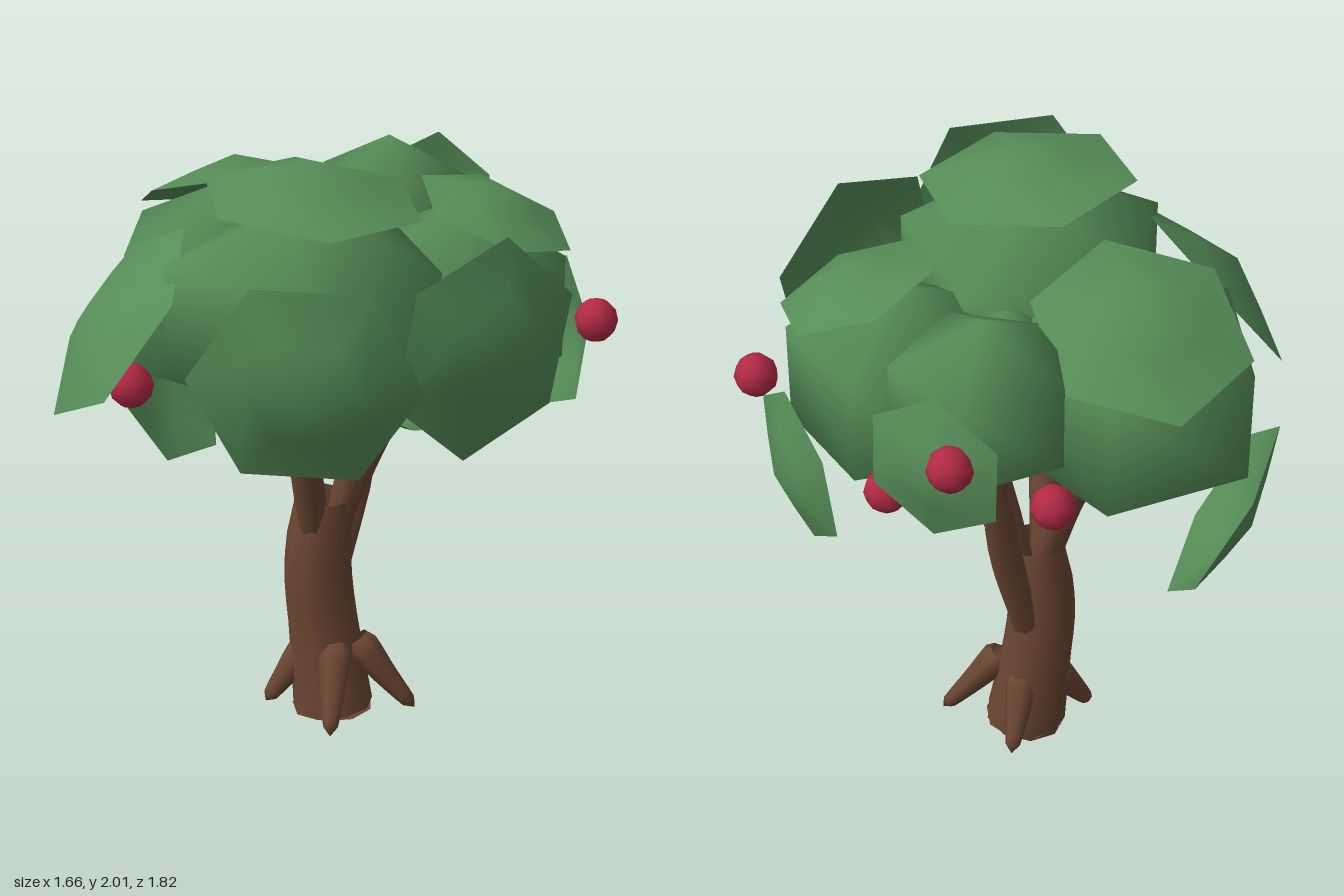
import * as THREE from 'three';
import { mergeVertices } from 'three/addons/utils/BufferGeometryUtils.js';

const mat = (name, color, side = THREE.FrontSide) => {
  const m = new THREE.MeshStandardMaterial({ color, side });
  m.name = name;
  return m;
};

// Drop seams so that low-poly surfaces shade smoothly
function smooth(geometry) {
  geometry.deleteAttribute('uv');
  geometry.deleteAttribute('normal');
  const merged = mergeVertices(geometry, 1e-4);
  merged.computeVertexNormals();
  return merged;
}

// Tube along a curve whose radius follows a list of values
function limbGeometry(points, radii, sides = 9, rings = 10) {
  const curve = new THREE.CatmullRomCurve3(points.map(p => new THREE.Vector3(...p)));
  const geo = new THREE.TubeGeometry(curve, rings, 1, sides);
  const pos = geo.attributes.position, v = new THREE.Vector3();
  for (let i = 0; i < pos.count; i++) {
    const t = Math.floor(i / (sides + 1)) / rings;
    const f = t * (radii.length - 1), k = Math.min(Math.floor(f), radii.length - 2);
    const r = THREE.MathUtils.lerp(radii[k], radii[k + 1], f - k);
    const c = curve.getPointAt(t);
    v.fromBufferAttribute(pos, i).sub(c).multiplyScalar(r).add(c);
    pos.setXYZ(i, v.x, v.y, v.z);
  }
  return smooth(geo);
}

export function createModel() {
  const bark = mat('bark brown', 0x6b4633, THREE.DoubleSide);
  const leaf = mat('leaf green', 0x568d58, THREE.DoubleSide);
  const red = mat('berry red', 0xb22a45);
  const tree = new THREE.Group();
  tree.name = 'tree';
  const add = (name, geo, material, position = [0, 0, 0]) => {
    const mesh = new THREE.Mesh(geo, material);
    mesh.name = name;
    mesh.position.set(...position);
    tree.add(mesh);
    return mesh;
  };

  // Bent trunk with a flat foot
  add('trunk', limbGeometry(
    [[-0.045, 0.01, -0.055], [-0.075, 0.25, -0.06], [-0.095, 0.5, -0.05], [-0.075, 0.77, -0.05]],
    [0.135, 0.125, 0.117, 0.114, 0.108, 0.09]), bark);
  add('trunkFoot', new THREE.CircleGeometry(0.135, 9).rotateX(Math.PI / 2), bark, [-0.045, 0.012, -0.055]);

  // Tapered roots
  const roots = [
    [[0.04, 0.27, -0.06], [0.12, 0.16, -0.075], [0.23, 0.025, -0.1]],
    [[-0.01, 0.26, 0], [0.01, 0.16, 0.08], [0.04, 0.025, 0.19]],
    [[-0.13, 0.22, -0.04], [-0.18, 0.14, -0.01], [-0.25, 0.025, 0.035]],
    [[-0.05, 0.26, -0.12], [-0.05, 0.15, -0.19], [-0.045, 0.025, -0.275]],
  ];
  for (const p of roots) {
    add('root', limbGeometry(p, [0.04, 0.055, 0.053, 0.05, 0.046, 0.042, 0.038, 0.034, 0.03, 0.025, 0], 7), bark);
  }

  // Branches fanning out into the crown
  const branches = [
    [[-0.09, 0.68, 0.01], [-0.08, 0.92, 0.08], [-0.03, 1.35, 0.27]],
    [[-0.1, 0.66, -0.05], [-0.16, 0.9, -0.07], [-0.31, 1.25, -0.1]],
    [[-0.04, 0.66, -0.06], [0.05, 0.92, -0.11], [0.25, 1.3, -0.2]],
    [[-0.03, 0.66, -0.06], [0.025, 0.95, -0.1], [0.06, 1.35, -0.17]],
    [[-0.06, 0.48, -0.13], [-0.01, 0.85, -0.22], [0.0, 1.4, -0.37]],
  ];
  for (const p of branches) add('branch', limbGeometry(p, [0.045, 0.055, 0.045, 0.036], 7), bark);

  // Five-sided foliage masses: centre, half width, half height, turn in degrees
  const clumps = [
    [[0.01, 1.53, 0.31], 0.495, 0.35, 180],
    [[-0.38, 1.43, -0.065], 0.46, 0.375, -90],
    [[0, 1.6, -0.45], 0.315, 0.28, -90],
    [[0.33, 1.45, -0.18], 0.385, 0.33, 261],
    [[0.01, 1.5, -0.13], 0.2, 0.2, 0],
  ];
  const clumpGeo = smooth(new THREE.SphereGeometry(1, 5, 3));
  for (const [c, w, h, turn] of clumps) {
    const clump = add('foliageClump', clumpGeo, leaf, c);
    clump.scale.set(w, h, w);
    clump.rotation.y = THREE.MathUtils.degToRad(turn);
  }

  // Shallow six-sided leaf pads: rim centre, outward direction, one corner's direction, radius
  const pads = [
    [[0.035, 1.89, 0.32], [0.1, 1, 0.04], [1, 0, 0], 0.345],
    [[0.45, 1.75, -0.17], [0.36, 0.93, 0], [1, 0, 0], 0.26],
    [[-0.42, 1.73, -0.19], [-0.22, 0.92, -0.3], [-1, 0, 0], 0.34],
    [[0.2, 1.49, 0.795], [0.34, -0.12, 0.93], [-1, 0.1, 0], 0.34],
    [[-0.53, 1.485, 0.48], [-0.65, 0.6, 0.46], [-0.27, -0.14, -0.18], 0.35],
    [[0.58, 1.485, 0.32], [0.83, -0.03, 0.55], [0, 0.3, -1], 0.345],
    [[0.565, 1.28, -0.465], [0.76, -0.08, -0.64], [0, 1, 0.15], 0.265],
    [[-0.685, 1.075, -0.15], [-0.88, -0.47, 0], [0.45, -0.84, -0.3], 0.326],
    [[0.065, 1.585, -0.775], [0.26, 0.05, -0.95], [0, 1, 0], 0.23],
    [[0.2, 1.13, -0.03], [-0.2, -0.97, 0.12], [1, 0, 0], 0.22],
  ];
  const padGeo = smooth(new THREE.LatheGeometry(
    [[1, 0], [0.5, 0.17], [0, 0.32]].map(p => new THREE.Vector2(...p)), 6));
  for (const [c, out, corner, r] of pads) {
    const y = new THREE.Vector3(...out).normalize();
    const x = new THREE.Vector3().crossVectors(y, new THREE.Vector3(...corner)).normalize();
    const z = new THREE.Vector3().crossVectors(x, y);
    const pad = add('leafPad', padGeo, leaf, c);
    pad.quaternion.setFromRotationMatrix(new THREE.Matrix4().makeBasis(x, y, z));
    pad.scale.setScalar(r);
  }

  // Berries
  const berryGeo = smooth(new THREE.SphereGeometry(0.069, 9, 6));
  const berries = [
    [0.765, 1.42, -0.23], [-0.445, 1.33, 0.585], [0.003, 1.64, -0.84],
    [-0.245, 1.37, -0.61], [0.25, 1.36, -0.625],
  ];
  for (const p of berries) add('berry', berryGeo, red, p);

  return tree;
}
